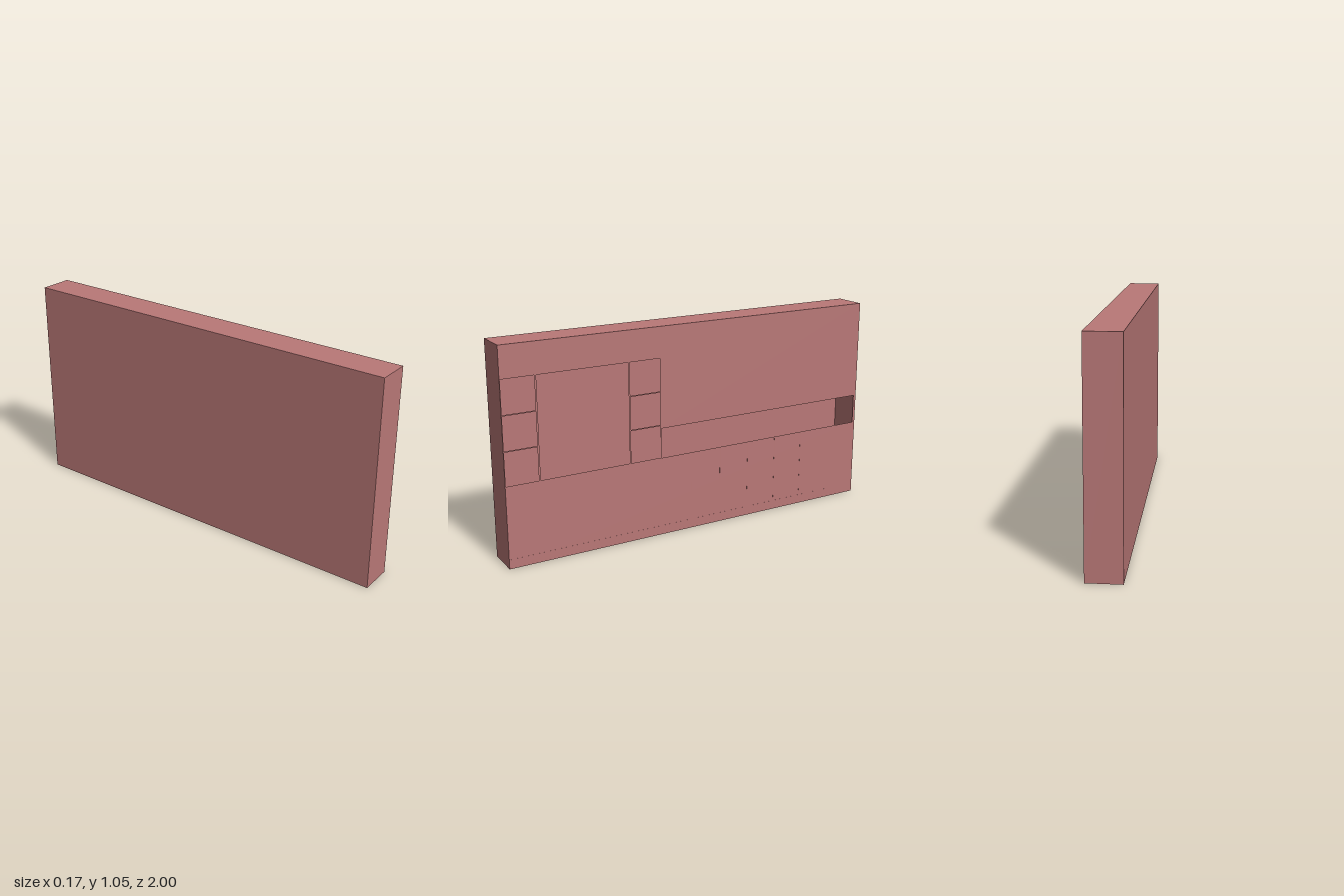
import * as THREE from 'three';

const W = 0.166, H = 1.05, L = 2;

export function createModel() {
  const group = new THREE.Group();
  group.name = 'wallSection';
  const material = new THREE.MeshStandardMaterial({ color: 0xb97877, side: THREE.DoubleSide });

  const add = (name, geometry, x = 0, y = 0, z = 0) => {
    const mesh = new THREE.Mesh(geometry, material);
    mesh.name = name;
    mesh.position.set(x, y, z);
    group.add(mesh);
    return mesh;
  };

  // Hollow shell made of thin sheets
  add('backWall', new THREE.PlaneGeometry(L, H).rotateY(-Math.PI / 2), -W / 2, H / 2, 0);
  add('frontEnd', new THREE.PlaneGeometry(W, H), 0, H / 2, L / 2);
  add('rearEnd', new THREE.PlaneGeometry(W, H).rotateY(Math.PI), 0, H / 2, -L / 2);
  add('roof', new THREE.PlaneGeometry(W, L).rotateX(-Math.PI / 2), 0, H, 0);
  add('floor', new THREE.PlaneGeometry(W, L).rotateX(Math.PI / 2), 0, 0, 0);

  // Facade sheet with window openings; shape x runs along -z
  const facade = new THREE.Shape();
  facade.moveTo(-1, 0).lineTo(1, 0).lineTo(1, H).lineTo(-1, H).closePath();
  const opening = (z0, z1, y0, y1) => {
    const hole = new THREE.Path();
    hole.moveTo(-z0, y0).lineTo(-z0, y1).lineTo(-z1, y1).lineTo(-z1, y0).closePath();
    facade.holes.push(hole);
  };

  // Three small panes on each side of the large window
  for (const [z0, z1] of [[0.997, 0.838], [0.365, 0.204]]) {
    for (let i = 0; i < 3; i++) {
      const y0 = 0.402 + i * 0.167;
      opening(z0, z1, y0, y0 + 0.161);
    }
  }
  opening(0.829, 0.373, 0.402, 0.897); // large window
  opening(0.2, -0.985, 0.4, 0.55);     // long low opening

  add('facade', new THREE.ShapeGeometry(facade).rotateY(Math.PI / 2), W / 2, 0, 0);

  // Fine panel seams below the openings
  for (let i = 0; i < 5; i++) {
    add('panelSeam', new THREE.BoxGeometry(0.001, 0.35, 0.003), W / 2, 0.22, 0.03 - i * 0.1667);
  }
  add('baseSeam', new THREE.BoxGeometry(0.001, 0.003, 1.84), W / 2, 0.045, 0.08);

  return group;
}
